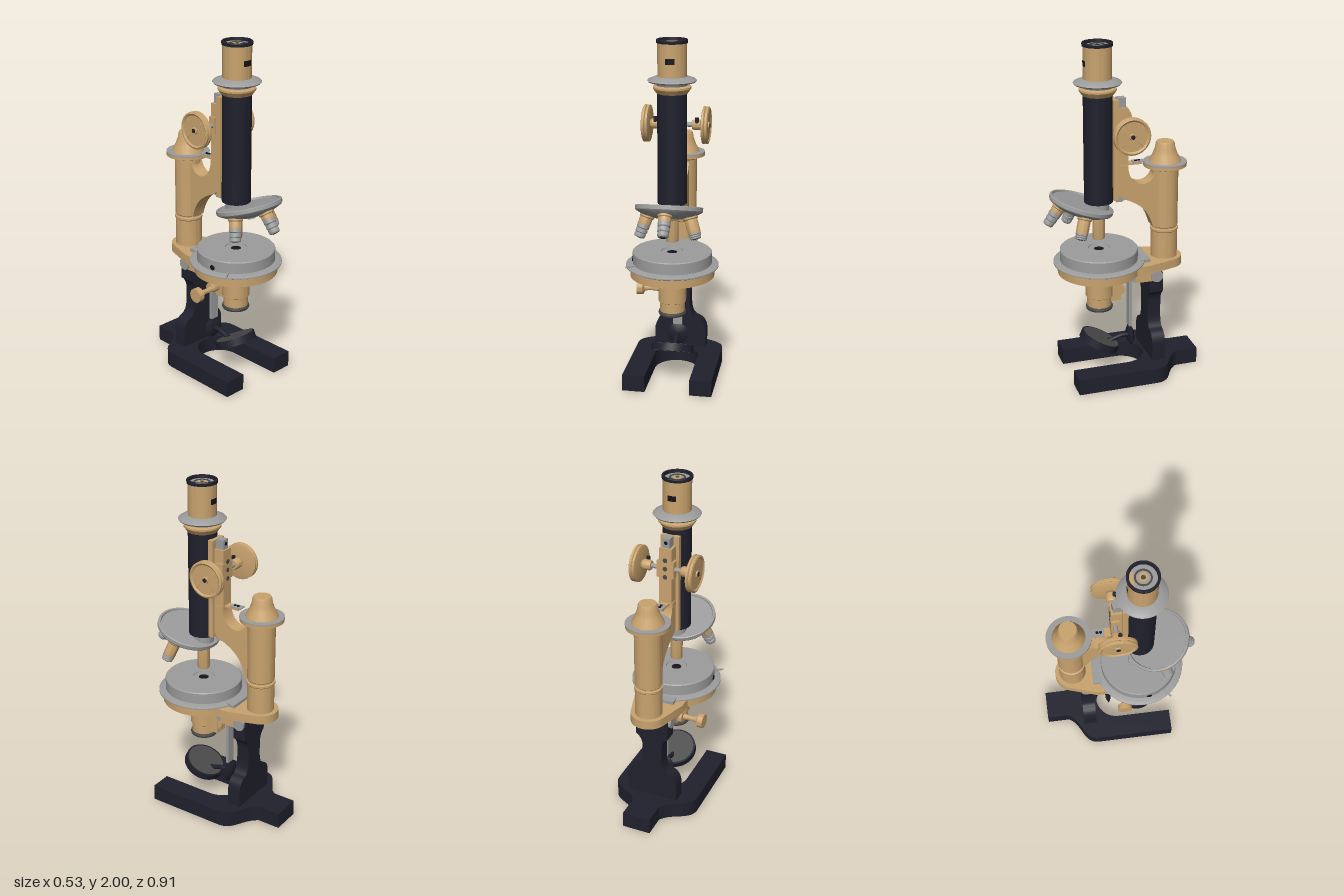
import * as THREE from 'three';
import { toCreasedNormals } from 'three/addons/utils/BufferGeometryUtils.js';

const mat = (name, color, side = THREE.FrontSide) => {
  const m = new THREE.MeshStandardMaterial({ color, side });
  m.name = name;
  return m;
};

export function createModel() {
  const brass = mat('brass', 0xc9a36e, THREE.DoubleSide);
  const steel = mat('steel', 0x9c9c9c, THREE.DoubleSide);
  const enamel = mat('dark enamel', 0x20202d, THREE.DoubleSide);
  const black = mat('black', 0x15151a);
  const glass = mat('dark glass', 0x4a4a4a, THREE.DoubleSide);
  const felt = mat('grey felt', 0x8a8a8a);
  const model = new THREE.Group();
  model.name = 'microscope';

  const add = (name, geo, material, x = 0, y = 0, z = 0, parent = model) => {
    const mesh = new THREE.Mesh(geo, material);
    mesh.name = name;
    mesh.position.set(x, y, z);
    parent.add(mesh);
    return mesh;
  };
  const box = (w, h, d) => new THREE.BoxGeometry(w, h, d);
  const cyl = (r, h, n = 40) => toCreasedNormals(new THREE.CylinderGeometry(r, r, h, n), 0.6);
  // Turned part from [radius, height] pairs listed bottom to top
  const turned = (pts, n = 56) =>
    toCreasedNormals(new THREE.LatheGeometry(pts.map(p => new THREE.Vector2(...p)), n), 0.5);
  const extrude = (shape, depth) => toCreasedNormals(
    new THREE.ExtrudeGeometry(shape, { depth, bevelEnabled: false, curveSegments: 20 }), 0.5);
  // Plan shape drawn in (x, -z), extruded upwards
  const slab = (shape, h) => extrude(shape, h).rotateX(-Math.PI / 2);
  const TZ = 0.135;  // optical axis
  const PZ = -0.262; // pillar axis

  // Horseshoe foot
  const foot = new THREE.Shape();
  foot.moveTo(-0.26, -0.33);
  foot.lineTo(-0.13, -0.33);
  foot.lineTo(-0.13, 0);
  foot.absarc(0, 0, 0.13, Math.PI, 0, true);
  foot.lineTo(0.13, -0.33);
  foot.lineTo(0.257, -0.33);
  foot.lineTo(0.257, 0.14);
  foot.bezierCurveTo(0.257, 0.25, 0.14, 0.23, 0.085, 0.32);
  foot.lineTo(0.085, 0.455);
  foot.lineTo(-0.085, 0.455);
  foot.lineTo(-0.085, 0.32);
  foot.bezierCurveTo(-0.14, 0.23, -0.26, 0.25, -0.26, 0.14);
  add('foot', slab(foot, 0.096), enamel, 0, 0.004);
  for (const s of [-1, 1]) {
    add('footPad', box(0.1, 0.006, 0.12), felt, s * 0.195, 0.003, 0.235);
    add('footPad', box(0.1, 0.006, 0.11), felt, s * 0.185, 0.003, -0.11);
  }

  // Upright column with shoulders
  const col = new THREE.Shape();
  col.moveTo(-0.155, 0.1);
  col.lineTo(0.155, 0.1);
  col.lineTo(0.155, 0.2);
  col.quadraticCurveTo(0.15, 0.265, 0.095, 0.28);
  col.quadraticCurveTo(0.06, 0.3, 0.06, 0.38);
  col.lineTo(0.06, 0.45);
  col.quadraticCurveTo(0.065, 0.5, 0.1, 0.52);
  col.lineTo(0.1, 0.64);
  col.lineTo(-0.1, 0.64);
  col.lineTo(-0.1, 0.52);
  col.quadraticCurveTo(-0.065, 0.5, -0.06, 0.45);
  col.lineTo(-0.06, 0.38);
  col.quadraticCurveTo(-0.06, 0.3, -0.095, 0.28);
  col.quadraticCurveTo(-0.15, 0.265, -0.155, 0.2);
  add('column', extrude(col, 0.08), enamel, 0, 0, -0.225);
  add('hingePin', cyl(0.036, 0.23).rotateZ(Math.PI / 2), steel, 0, 0.625, -0.185);
  for (const s of [-1, 1]) add('hingeLug', box(0.035, 0.07, 0.11), brass, s * 0.088, 0.63, -0.11);
  add('rodPivot', cyl(0.022, 0.21, 24).rotateZ(Math.PI / 2), steel, 0, 0.625, -0.045);

  // Mirror on its hanging rod
  add('mirrorRod', box(0.055, 0.37, 0.018), steel, 0, 0.465, -0.05);
  add('mirrorClamp', turned([[0, -0.017], [0.04, -0.015], [0.065, 0], [0.04, 0.015], [0, 0.017]])
    .rotateX(Math.PI / 2), enamel, 0, 0.215, -0.055);
  const bracket = new THREE.CatmullRomCurve3([[-0.055, 0.215], [0, 0.215], [0.07, 0.195], [0.13, 0.195]]
    .map(([z, y]) => new THREE.Vector3(0, y, z)));
  add('mirrorArm', new THREE.TubeGeometry(bracket, 16, 0.014, 10), enamel);
  const mirror = new THREE.Group();
  mirror.name = 'mirror';
  mirror.position.set(0, 0.205, TZ);
  mirror.rotation.x = -0.46;
  model.add(mirror);
  add('mirrorCell', cyl(0.122, 0.042), enamel, 0, 0, 0, mirror);
  for (const s of [-1, 1]) add('mirrorFace', cyl(0.112, 0.004), glass, 0, s * 0.0205, 0, mirror);

  // Condenser beneath the stage
  add('condenser', turned([[0, 0.445], [0.072, 0.445], [0.072, 0.5], [0.08, 0.505], [0.08, 0.66], [0, 0.66]]), brass, 0, 0, TZ);
  add('condenserRing', turned([[0.068, 0.422], [0.076, 0.422], [0.08, 0.432], [0.076, 0.445], [0.06, 0.445]]), glass, 0, 0, TZ);
  add('condenserIris', cyl(0.07, 0.02), black, 0, 0.434, TZ);
  add('condenserSlide', box(0.08, 0.19, 0.07), brass, 0, 0.565, 0.045);
  add('condenserKnob', turned([[0, 0], [0.018, 0], [0.014, 0.07], [0.02, 0.1], [0.042, 0.11], [0.042, 0.145], [0, 0.145]], 32)
    .rotateZ(Math.PI / 2), brass, -0.08, 0.53, 0.03);
  add('condenserStem', cyl(0.03, 0.13).rotateZ(Math.PI / 2), brass, -0.03, 0.53, 0.015);

  // Stage carrier joined to the pillar seat
  const carrier = new THREE.Shape();
  carrier.moveTo(-0.1, -PZ + 0.03);
  carrier.lineTo(-0.15, 0.13);
  carrier.lineTo(-0.15, 0.05);
  carrier.absarc(0, -TZ, 0.24, 2.25, 0.89, false);
  carrier.lineTo(0.15, 0.05);
  carrier.lineTo(0.15, 0.13);
  carrier.lineTo(0.1, -PZ + 0.03);
  carrier.absarc(0, -PZ, 0.104, 0.29, Math.PI - 0.29, false);
  add('stageCarrier', slab(carrier, 0.052), brass, 0, 0.662);

  // Round stage with a central opening
  add('stageFlange', turned([[0.05, 0.713], [0.25, 0.713], [0.264, 0.72], [0.264, 0.727], [0.24, 0.737], [0.05, 0.737]], 72), steel, 0, 0, TZ);
  add('stageDisc', turned([[0.05, 0.73], [0.225, 0.735], [0.225, 0.8], [0.22, 0.805], [0.062, 0.805], [0.06, 0.798], [0.03, 0.798], [0.028, 0.73]], 72), steel, 0, 0, TZ);
  add('stageAperture', cyl(0.028, 0.005), black, 0, 0.794, TZ);
  add('stageSlide', box(0.2, 0.018, 0.08), steel, 0, 0.726, -0.107);
  const pointer = add('stagePointer', box(0.06, 0.008, 0.008), steel, -0.212, 0.745, 0.28);
  pointer.rotation.y = 0.6;
  add('stageScrew', cyl(0.015, 0.04, 16).rotateZ(Math.PI / 2), black, -0.205, 0.755, 0.17);

  // Pillar with turned cap
  add('pillar', turned([[0, 0.71], [0.078, 0.71], [0.078, 0.875], [0.082, 0.88], [0.082, 0.892], [0.073, 0.895], [0.073, 0.902],
    [0.078, 0.907], [0.078, 1.25], [0.09, 1.262], [0.125, 1.268], [0.125, 1.288], [0, 1.288]]), brass, 0, 0, PZ);
  add('pillarFlange', turned([[0.08, 1.286], [0.126, 1.286], [0.126, 1.292], [0.08, 1.292]]), steel, 0, 0, PZ);
  add('pillarCap', turned([[0.094, 1.288], [0.09, 1.3], [0.072, 1.335], [0.059, 1.37], [0.054, 1.4], [0.049, 1.41], [0, 1.41]]), brass, 0, 0, PZ);

  // Swooping arm, drawn in (-z, y)
  const arm = new THREE.Shape();
  arm.moveTo(0.265, 0.91);
  arm.lineTo(0.18, 0.91);
  arm.bezierCurveTo(0.15, 1.02, 0.1, 1.06, 0, 1.1);
  arm.lineTo(-0.02, 1.12);
  arm.lineTo(-0.02, 1.3);
  arm.lineTo(0.028, 1.3);
  arm.bezierCurveTo(0.03, 1.15, 0.17, 1.15, 0.19, 1.24);
  arm.lineTo(0.265, 1.24);
  add('arm', extrude(arm, 0.085).translate(0, 0, -0.0425).rotateY(Math.PI / 2), brass);

  // Rack slide along the tube
  add('slide', box(0.075, 0.51, 0.06), brass, 0, 1.375, 0.0);
  add('slideGuide', box(0.11, 0.58, 0.03), brass, 0, 1.39, 0.045);
  add('rack', box(0.045, 0.6, 0.05), steel, 0, 1.385, 0.005);
  add('rackScrew', cyl(0.01, 0.004, 16).rotateX(Math.PI / 2), black, 0, 1.66, -0.021);
  add('pinionHousing', box(0.1, 0.1, 0.045), brass, 0, 1.505, -0.01);
  for (let i = 0; i < 3; i++)
    add('slideScrew', cyl(0.013, 0.004, 16).rotateX(Math.PI / 2), glass, 0, 1.46 + i * 0.05, -0.033);

  // Stop lever with its screwed plate
  add('stopLever', box(0.05, 0.01, 0.11), brass, 0, 1.298, -0.065);
  add('stopPlate', box(0.046, 0.005, 0.07), steel, 0, 1.3055, -0.1);
  for (const z of [-0.105, -0.085]) add('stopScrew', cyl(0.008, 0.006, 16), black, 0, 1.31, z);

  // Focus axle and mirrored knobs
  add('focusAxle', cyl(0.013, 0.32, 20).rotateZ(Math.PI / 2), steel, 0, 1.505, -0.01);
  for (const s of [-1, 1]) {
    const knob = new THREE.Group();
    knob.name = 'focusKnob';
    knob.position.set(0, 1.505, -0.01);
    knob.rotation.z = -s * Math.PI / 2;
    model.add(knob);
    add('knobWheel', turned([[0, 0.148], [0.09, 0.148], [0.105, 0.152], [0.105, 0.163], [0.098, 0.167], [0.105, 0.171],
      [0.105, 0.182], [0.095, 0.187], [0.085, 0.18], [0.02, 0.18], [0.018, 0.187], [0, 0.187]]), brass, 0, 0, 0, knob);
    add('knobHub', turned([[0, 0.09], [0.025, 0.09], [0.03, 0.1], [0.03, 0.135], [0.022, 0.148], [0, 0.148]], 32), brass, 0, 0, 0, knob);
    add('knobPin', cyl(0.012, 0.006, 16), enamel, 0, 0.188, 0, knob);
    add('hubScrew', cyl(0.011, 0.03, 14).rotateZ(Math.PI / 2), enamel, -s * 0.028, 0.118, 0.018, knob);
  }

  // Body tube, collar and eyepiece
  add('bodyTube', cyl(0.082, 0.625, 56), enamel, 0, 1.4, TZ);
  add('tubeCollar', turned([[0, 1.708], [0.086, 1.708], [0.105, 1.735], [0.105, 1.745], [0.085, 1.752], [0, 1.752]]), brass, 0, 0, TZ);
  add('tubeFlange', turned([[0, 1.75], [0.085, 1.752], [0.09, 1.765], [0.128, 1.77], [0.135, 1.778], [0.128, 1.785], [0.09, 1.8], [0, 1.8]], 64), steel, 0, 0, TZ);
  add('eyepiece', cyl(0.08, 0.185, 56), brass, 0, 1.8875, TZ);
  add('eyepieceRim', turned([[0.072, 1.978], [0.085, 1.98], [0.086, 1.996], [0.083, 2], [0.073, 2], [0.07, 1.975]]),
    enamel, 0, 0, TZ);
  add('eyepieceFloor', cyl(0.071, 0.004), steel, 0, 1.98, TZ);
  const segment = new THREE.Shape();
  segment.absarc(0, 0, 0.07, Math.PI * 0.25, Math.PI * 0.75, false);
  add('eyepieceKey', slab(segment, 0.003), brass, 0, 1.981, TZ);
  add('eyepieceStop', turned([[0.037, 1.981], [0.037, 1.986], [0.046, 1.986], [0.046, 1.981]]), glass, 0, 0, TZ);
  add('eyeLensRing', cyl(0.026, 0.006), brass, 0, 1.983, TZ);
  add('eyeLens', cyl(0.012, 0.006), glass, 0, 1.984, TZ);
  // Plain dark slots on the eyepiece, front and back
  for (const a of [0, Math.PI])
    add('eyepieceSlot', new THREE.CylinderGeometry(0.0815, 0.0815, 0.032, 10, 1, true, a - 0.32, 0.64), black, 0, 1.888, TZ);

  // Tilted revolving nosepiece
  add('noseMount', cyl(0.06, 0.08), steel, 0, 1.06, TZ);
  add('noseCatch', box(0.045, 0.045, 0.04), steel, 0, 1.1, 0.015);
  const nose = new THREE.Group();
  nose.name = 'nosepiece';
  nose.position.set(0, 1.085, 0.235);
  const tilt = Math.PI / 10;
  nose.rotation.x = -tilt;
  model.add(nose);
  add('noseDisc', turned([[0, -0.06], [0.07, -0.06], [0.14, -0.042], [0.182, -0.02], [0.188, -0.012], [0.188, 0.008], [0.182, 0.012],
    [0.174, 0.012], [0.17, 0.002], [0, 0.002]], 72), steel, 0, 0, 0, nose);
  add('noseScrew', cyl(0.022, 0.02, 20), steel, 0, -0.065, 0, nose);

  // Four objectives (front, left, rear, right): barrel length, tip length
  [[0.055, 0.085], [0.105, 0.035], [0.158, 0], [0.07, 0.075]].forEach(([len, tip], i) => {
    const turn = new THREE.Group();
    turn.name = 'objective';
    turn.rotation.y = i * Math.PI / 2;
    nose.add(turn);
    const lens = new THREE.Group();
    lens.position.set(0, -0.03, 0.115);
    lens.rotation.x = -tilt;
    turn.add(lens);
    add('objectiveBarrel', turned([[0, -len], [0.034, -len], [0.036, -len + 0.01], [0.036, -0.03], [0.042, -0.025], [0.042, 0], [0, 0]], 32),
      brass, 0, 0, 0, lens);
    if (tip) add('objectiveTip', turned([[0, -1], [0.026, -1], [0.031, -0.9], [0.031, -0.7], [0.028, -0.66], [0.033, -0.6], [0.033, -0.36],
      [0.029, -0.32], [0.035, -0.26], [0.035, 0], [0, 0]].map(([r, y]) => [r, y * tip]), 32), steel, 0, -len, 0, lens);
    add('objectiveLens', cyl(0.014, 0.004, 24), black, 0, -len - tip - 0.001, 0, lens);
  });
  return model;
}
